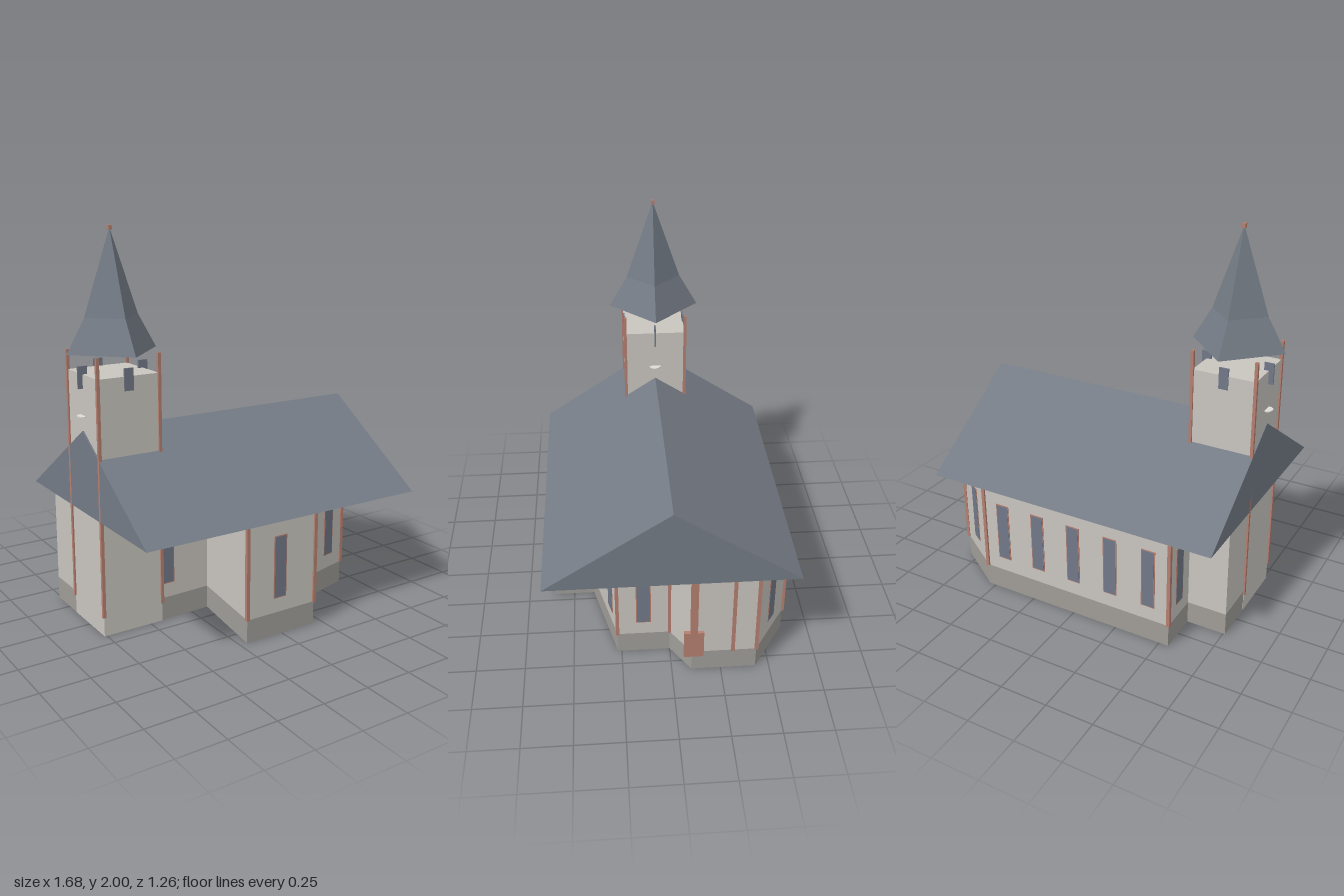
import * as THREE from 'three';

const mat = (name, color) => Object.assign(new THREE.MeshStandardMaterial({ color }), { name });

export function createModel() {
  const group = new THREE.Group();
  const wall = mat('plaster', 0xc9c5bf);
  const stone = mat('foundation stone', 0xa09d98);
  const slate = mat('roof slate', 0x747b85);
  const brick = mat('brick', 0xb57f70);
  const glass = mat('window glass', 0x717887);
  const dial = mat('pale dial', 0xdedcd6);

  const add = (name, geometry, material, x = 0, y = 0, z = 0) => {
    const mesh = new THREE.Mesh(geometry, material);
    mesh.name = name;
    mesh.position.set(x, y, z);
    group.add(mesh);
    return mesh;
  };
  const box = (name, w, h, d, material, x, y, z) =>
    add(name, new THREE.BoxGeometry(w, h, d), material, x, y, z);

  // Floor plan of the nave as [x, z] corners
  const plan = [
    [-0.76, -0.39], [-0.55, -0.39], [-0.55, -0.61], [0.54, -0.61], [0.81, -0.43],
    [0.81, -0.1], [0.66, 0], [0.66, 0.27], [0.2, 0.39], [0.2, 0.61],
    [-0.21, 0.61], [-0.15, 0.15], [-0.43, 0.16], [-0.755, 0.16], [-0.755, -0.165], [-0.76, -0.165],
  ];
  const prism = (name, y0, y1, material) => {
    const shape = new THREE.Shape(plan.map(([x, z]) => new THREE.Vector2(x, -z)));
    const g = new THREE.ExtrudeGeometry(shape, { depth: y1 - y0, bevelEnabled: false });
    add(name, g.rotateX(-Math.PI / 2), material, 0, y0, 0);
  };
  prism('foundation', 0, 0.12, stone);
  prism('naveWalls', 0.12, 0.6, wall);

  // Gable roof, ridge along x
  const gable = new THREE.Shape([
    new THREE.Vector2(-0.63, 0), new THREE.Vector2(0.63, 0), new THREE.Vector2(0, 0.42)]);
  add('naveRoof', new THREE.ExtrudeGeometry(gable, { depth: 1.61, bevelEnabled: false })
    .rotateY(Math.PI / 2), slate, -0.77, 0.6, 0);

  // Windows: a thin brick surround with glass, set on the wall from plan corner i to i + 1
  const addWindow = (i, t) => {
    const [ax, az] = plan[i], [bx, bz] = plan[i + 1];
    const x = ax + (bx - ax) * t, z = az + (bz - az) * t;
    const angle = Math.atan2(bz - az, -(bx - ax));
    box('windowSurround', 0.076, 0.326, 0.006, brick, x, 0.36, z).rotation.y = angle;
    box('windowGlass', 0.066, 0.316, 0.0095, glass, x, 0.36, z).rotation.y = angle;
  };
  for (let k = 0; k < 5; k++) addWindow(2, 0.106 + k * 0.197);
  addWindow(1, 0.5);
  addWindow(3, 0.5);
  addWindow(6, 0.5);
  addWindow(7, 0.25);
  addWindow(7, 0.75);
  addWindow(9, 0.525);
  addWindow(11, 0.87);

  // Brick posts on the nave corners
  const posts = [...[2, 3, 4, 6, 7, 8, 9, 10].map((i) => plan[i]), [0.81, -0.31]];
  for (const [x, z] of posts) box('cornerPost', 0.018, 0.48, 0.018, brick, x, 0.36, z);

  // Entrance post and its low panel
  box('entrancePost', 0.03, 0.48, 0.036, brick, 0.812, 0.36, -0.11);
  box('entrancePanel', 0.02, 0.16, 0.1, brick, 0.815, 0.18, -0.11);

  // Bell tower with corner posts carrying the spire
  const tx = -0.597, half = 0.165;
  box('tower', half * 2, 1.3, half * 2, wall, tx, 0.65, 0);
  for (const sx of [-1, 1]) {
    for (const sz of [-1, 1]) {
      box('towerPost', 0.016, 1.3, 0.016, brick, tx + sx * half, 0.75, sz * half);
    }
    box('towerLouvre', 0.05, 0.11, 0.008, glass, tx + sx * half, 1.285, 0);
    box('towerLouvre', 0.05, 0.11, 0.008, glass, tx, 1.285, sx * half);
    add('towerDial', new THREE.CylinderGeometry(0.032, 0.032, 0.005, 16), dial, tx + sx * half, 1.095, 0);
  }

  // Four-sided flared spire, turned with its corners on the axes
  const spirePart = (name, rTop, rBottom, y0, y1) => {
    const g = new THREE.CylinderGeometry(rTop, rBottom, y1 - y0, 4).toNonIndexed();
    g.computeVertexNormals();
    add(name, g, slate, tx, (y0 + y1) / 2, 0);
  };
  spirePart('spireFlare', 0.145, 0.243, 1.4, 1.57);
  spirePart('spire', 0.002, 0.145, 1.57, 1.985);
  box('finial', 0.018, 0.022, 0.018, brick, tx, 1.989, 0);

  return group;
}
